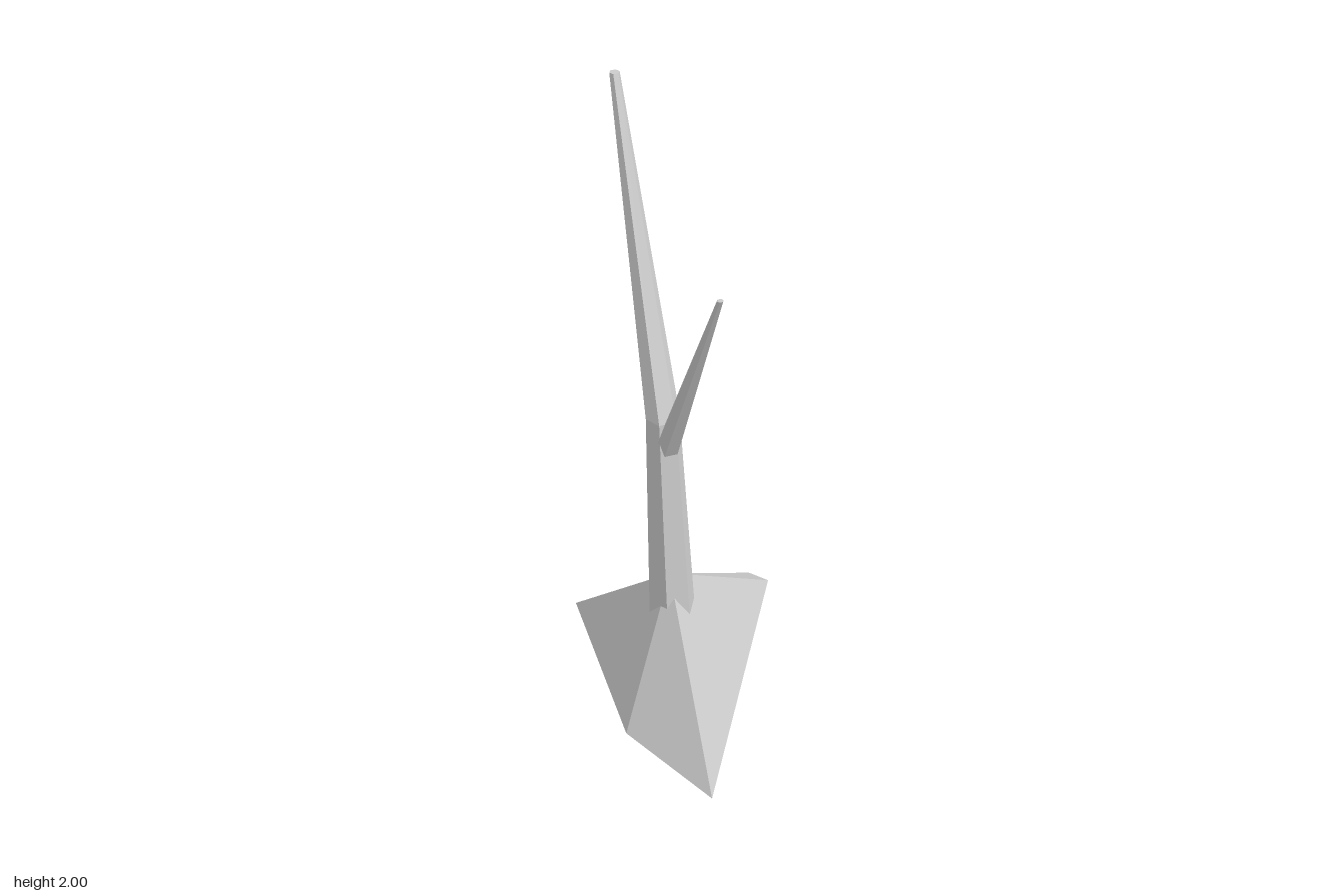
import * as THREE from 'three';

const material = new THREE.MeshStandardMaterial({ color: 0xcccccc, flatShading: true });
const SIDES = 6;

// Capped six-sided limb lofted through horizontal rings [x, y, z, radius], bottom to top
function limb(name, rings) {
  const pos = [];
  const corner = ([x, y, z, r], i) => {
    const a = (i / SIDES) * Math.PI * 2;
    return [x + r * Math.cos(a), y, z - r * Math.sin(a)];
  };
  const first = rings[0], last = rings[rings.length - 1];
  for (let i = 0; i < SIDES; i++) {
    for (let k = 0; k < rings.length - 1; k++) {
      const a = corner(rings[k], i), b = corner(rings[k], i + 1);
      const c = corner(rings[k + 1], i + 1), d = corner(rings[k + 1], i);
      pos.push(...a, ...b, ...c, ...a, ...c, ...d);
    }
    pos.push(...first.slice(0, 3), ...corner(first, i + 1), ...corner(first, i));
    pos.push(...last.slice(0, 3), ...corner(last, i), ...corner(last, i + 1));
  }
  return build(name, pos, material);
}

function build(name, pos, mat) {
  const geometry = new THREE.BufferGeometry();
  geometry.setAttribute('position', new THREE.Float32BufferAttribute(pos, 3));
  geometry.computeVertexNormals();
  const mesh = new THREE.Mesh(geometry, mat);
  mesh.name = name;
  return mesh;
}

// Hollow mound: an irregular five-sided cone, open underneath
function mound() {
  const apex = [-0.115, 0.415, -0.08];
  const rim = [[-0.19, 0.53], [0.355, -0.375], [0.305, -0.437], [-0.33, -0.495], [-0.357, 0.17]];
  const pos = [];
  rim.forEach(([x, z], i) => {
    const [nx, nz] = rim[(i + 1) % rim.length];
    pos.push(x, 0, z, nx, 0, nz, ...apex);
  });
  const open = material.clone();
  open.side = THREE.DoubleSide;
  return build('mound', pos, open);
}

export function createModel() {
  const tree = new THREE.Group();
  tree.name = 'bareTree';
  tree.add(
    mound(),
    // Trunk bends back into the long upper limb
    limb('trunk', [
      [-0.113, 0, -0.045, 0.087],
      [-0.113, 1.02, -0.128, 0.055],
      [-0.113, 2, -0.518, 0.016],
    ]),
    // Thin side branch leaning forward
    limb('branch', [
      [-0.108, 0.9, -0.108, 0.043],
      [-0.075, 1.675, 0.278, 0.01],
    ]),
  );
  return tree;
}
